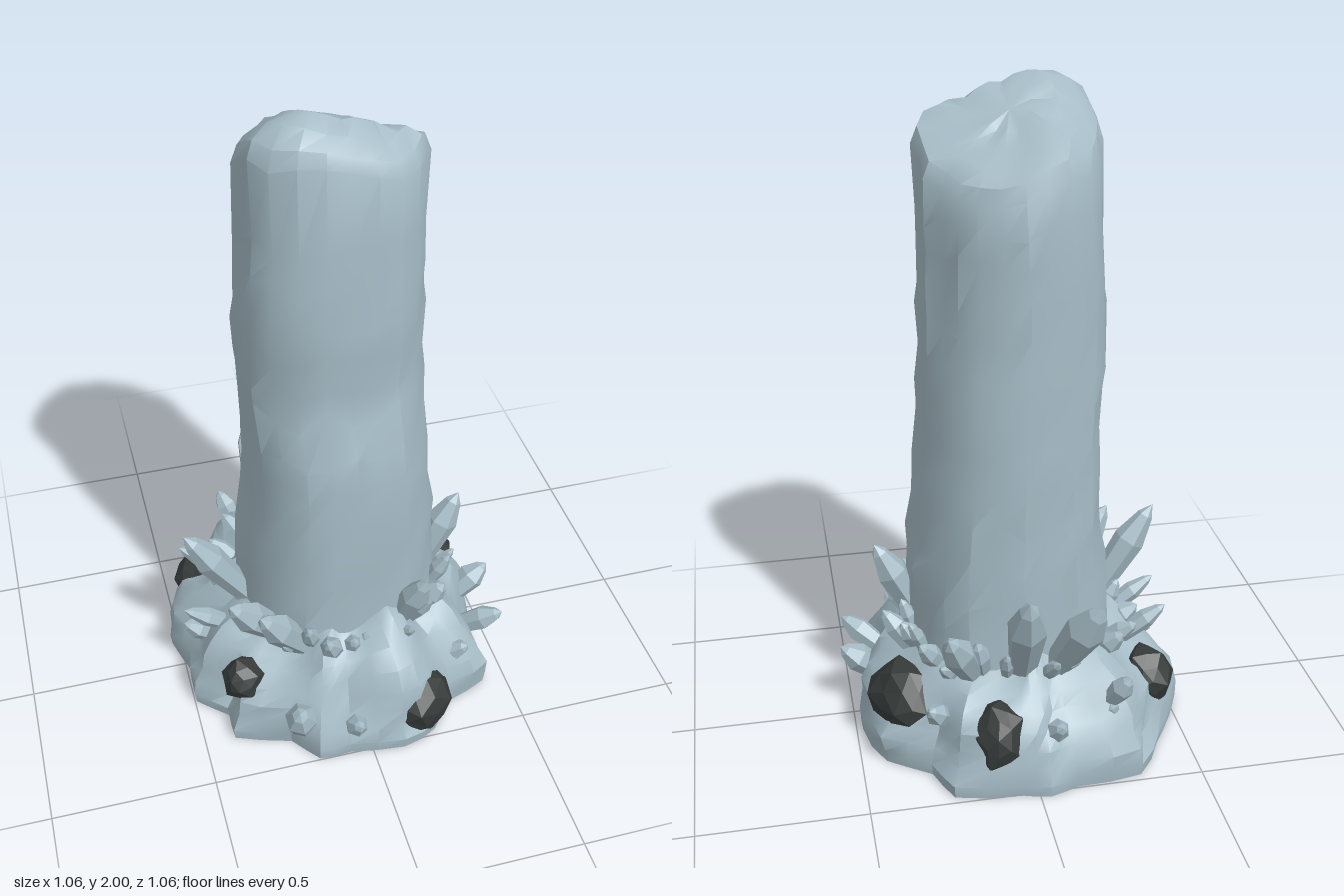
import * as THREE from 'three';
import { toCreasedNormals } from 'three/addons/utils/BufferGeometryUtils.js';

// Seeded random numbers in the range -1..1
function seeded(seed) {
  let s = seed;
  return () => {
    s = (s * 16807) % 2147483647;
    return (s / 2147483647) * 2 - 1;
  };
}

// Skin closed rings of points; both ends are closed by a centre point
function loft(rings, crease) {
  const n = rings[0].length, pos = [], index = [];
  rings.forEach(ring => ring.forEach(p => pos.push(p.x, p.y, p.z)));
  for (let r = 0; r < rings.length - 1; r++) {
    for (let i = 0; i < n; i++) {
      const a = r * n + i, b = r * n + (i + 1) % n;
      index.push(a, a + n, b, b, a + n, b + n);
    }
  }
  [0, rings.length - 1].forEach((r, end) => {
    const c = new THREE.Vector3();
    rings[r].forEach(p => c.addScaledVector(p, 1 / n));
    const ci = pos.length / 3;
    pos.push(c.x, c.y, c.z);
    for (let i = 0; i < n; i++) {
      const a = r * n + i, b = r * n + (i + 1) % n;
      if (end) index.push(a, ci, b); else index.push(a, b, ci);
    }
  });
  const g = new THREE.BufferGeometry();
  g.setAttribute('position', new THREE.Float32BufferAttribute(pos, 3));
  g.setIndex(index);
  return toCreasedNormals(g, crease);
}

// Lumpy plinth: ground outline scaled inward while rising, with rounded knobs
function baseGeometry() {
  const outline = [
    [-.32, -.48], [-.12, -.5], [-.03, -.53], [.05, -.51], [.25, -.48], [.3, -.36],
    [.43, -.27], [.485, -.1], [.47, .04], [.43, .2], [.43, .33], [.29, .385],
    [.215, .48], [.1, .525], [-.07, .5], [-.17, .5], [-.24, .41], [-.41, .35],
    [-.41, .255], [-.5, .17], [-.49, .04], [-.53, -.1], [-.49, -.21], [-.41, -.34]];
  const curve = new THREE.CatmullRomCurve3(outline.map(([x, z]) => new THREE.Vector3(x, 0, z)), true);
  const points = curve.getPoints(48).slice(0, 48);
  const levels = [[0, .99], [.04, 1], [.09, .975], [.14, .945], [.19, .9], [.235, .83],
    [.27, .75], [.305, .66], [.345, .57], [.4, .45]];
  const rnd = seeded(41);
  return loft(levels.map(([y, s], l) => points.map(({ x, z }) => {
    const a = Math.atan2(z, x);
    const lump = Math.sin(a * 9 + y * 9) * .022 + Math.sin(a * 5 - y * 24) * .025 + rnd() * .015;
    const k = l < 2 ? s : s * (1 + lump);
    const mound = l > 3 ? .08 * Math.exp(-((x * k - .11) ** 2 + (z * k - .34) ** 2) / .015) : 0;
    return new THREE.Vector3(x * k, l ? y * (1 + lump * 1.5) + mound : 0, z * k);
  })), .6);
}

// Rough column: [y, x min, x max, z min, z max], with vertical ridges
function pillarGeometry() {
  const levels = [
    [.2, -.31, .32, -.31, .32], [.4, -.3, .31, -.305, .315], [.52, -.295, .31, -.3, .315],
    [.64, -.28, .3, -.3, .312], [.76, -.272, .288, -.3, .31], [.88, -.268, .278, -.3, .303],
    [1, -.265, .265, -.3, .295], [1.12, -.275, .262, -.295, .255], [1.22, -.278, .26, -.288, .25],
    [1.33, -.28, .257, -.283, .256], [1.44, -.278, .255, -.28, .26], [1.55, -.266, .255, -.28, .247],
    [1.65, -.263, .258, -.278, .238]];
  const n = 24, rnd = seeded(7);
  const ridge = Array.from({ length: n }, () => rnd() * .03);
  // How far each corner swells at the foot and at the top, going round from front left
  const foot = [.03, .04, .12, .08], head = [.08, .13, 0, -.1];
  // Crown slopes down from a peak at the front right
  const crown = (x, z) => Math.max(1.76, 2.005 - .32 * Math.max(0, x + .1) - .6 * Math.max(0, -.14 - x)
    - .62 * Math.max(0, .07 - z) - .5 * Math.max(0, z - .1));
  const ring = ([y, x0, x1, z0, z1], k, wobble, drop) => Array.from({ length: n }, (_, i) => {
    const a = i / n * Math.PI * 2, q = Math.floor(i / n * 4);
    const corner = THREE.MathUtils.lerp(foot[q], head[q], y / 1.9) * Math.sin(2 * a) ** 2;
    const f = k * (1 + ridge[i] + corner + rnd() * wobble);
    const x = (x0 + x1) / 2 + (x1 - x0) / 2 * Math.cos(a) * f;
    const z = (z0 + z1) / 2 + (z1 - z0) / 2 * Math.sin(a) * f;
    return new THREE.Vector3(x, drop === undefined ? y + rnd() * .03 : crown(x, z) - drop + rnd() * .008, z);
  });
  const rings = levels.map(l => ring(l, 1, .026));
  const rim = [1.9, -.262, .262, -.265, .22];
  [[.99, .045], [.92, .01], [.75, 0], [.5, 0], [.25, 0]].forEach(([k, drop]) => rings.push(ring(rim, k, .012, drop)));
  return loft(rings, .5);
}

// Six-sided pointed crystal between two points
function crystal(from, to, radius, material) {
  const a = new THREE.Vector3(...from), d = new THREE.Vector3(...to).sub(a);
  const len = d.length();
  const profile = [[0, 0], [radius * .7, 0], [radius, len * .66], [radius * .5, len * .9], [0, len]];
  const g = new THREE.LatheGeometry(profile.map(p => new THREE.Vector2(...p)), 6).toNonIndexed();
  g.computeVertexNormals();
  const m = new THREE.Mesh(g, material);
  m.position.copy(a);
  m.quaternion.setFromUnitVectors(new THREE.Vector3(0, 1, 0), d.normalize());
  m.name = 'crystal';
  return m;
}

// Chunky stone set into the side of the plinth
function stoneGeometry(seed) {
  const g = new THREE.IcosahedronGeometry(1, 1), p = g.attributes.position, v = new THREE.Vector3();
  for (let i = 0; i < p.count; i++) {
    v.fromBufferAttribute(p, i);
    const k = 1 + .1 * Math.sin(v.x * 5 + seed) * Math.cos(v.y * 4 - seed) + .06 * Math.sin(v.z * 7 + seed * 2);
    p.setXYZ(i, v.x * k, v.y * k, v.z * k);
  }
  g.computeVertexNormals();
  return g;
}

export function createModel() {
  const paleStone = new THREE.MeshStandardMaterial({ color: 0xa5bbc5 });
  paleStone.name = 'pale stone';
  const darkStone = new THREE.MeshStandardMaterial({ color: 0x363b3a });
  darkStone.name = 'dark stone';

  const model = new THREE.Group();
  model.name = 'crystalPillar';
  const add = (name, geometry, material) => {
    const m = new THREE.Mesh(geometry, material);
    m.name = name;
    model.add(m);
    return m;
  };
  add('base', baseGeometry(), paleStone);
  add('pillar', pillarGeometry(), paleStone);

  // Large crystals: root, tip, radius
  const crystals = new THREE.Group();
  crystals.name = 'crystals';
  model.add(crystals);
  [
    [[-.26, .28, .04], [-.48, .62, .06], .05], [[.26, .28, .05], [.41, .58, .04], .05],
    [[.01, .28, -.28], [.03, .645, -.49], .06], [[-.09, .28, -.28], [-.19, .58, -.45], .06],
    [[.15, .27, -.26], [.25, .5, -.41], .05], [[-.2, .27, .2], [-.39, .51, .28], .05],
    [[-.14, .25, .26], [-.31, .5, .34], .05], [[.14, .28, .25], [.2, .54, .36], .045],
    [[.38, .1, .04], [.53, .23, .03], .045], [[.36, .1, .16], [.51, .21, .24], .04],
    [[-.3, .2, .08], [-.5, .34, .09], .03], [[.22, .27, .19], [.3, .4, .25], .04],
    [[-.23, .2, -.38], [-.28, .33, -.45], .035], [[-.06, .25, .3], [-.12, .4, .4], .035],
    [[-.2, .05, .4], [-.23, .22, .49], .05], [[-.05, .05, .42], [-.05, .15, .53], .035],
    [[-.3, .25, -.14], [-.47, .38, -.15], .03], [[.3, .25, -.08], [.4, .4, -.05], .035],
  ].forEach(([from, to, r]) => crystals.add(crystal(from, to, r, paleStone)));

  // Ring of small crystals around the foot of the pillar
  const rnd = seeded(99);
  for (let i = 0; i < 26; i++) {
    const a = (i + rnd() * .35) / 26 * Math.PI * 2, c = Math.cos(a), s = Math.sin(a);
    const r = .38 + rnd() * .04, h = .39 + rnd() * .05;
    crystals.add(crystal([c * .29, .26, s * .29], [c * r, h, s * r], .029 + rnd() * .008, paleStone));
  }
  // Short studs on the flanks of the plinth, between the dark stones
  [45, 175, 240, 262, 308].forEach(deg => {
    const a = deg * Math.PI / 180, c = Math.cos(a), s = Math.sin(a), h = .18 + rnd() * .03;
    crystals.add(crystal([c * .38, h - .05, s * .38], [c * .5, h + .05, s * .5], .035, paleStone));
  });

  // Dark stones: centre, half width, half height, half depth, backward tilt
  [
    [[.17, .115, .42], .11, .115, .09, -.6], [[-.35, .19, .275], .065, .07, .08, -.45],
    [[-.4, .18, -.22], .08, .095, .075, -.45], [[.105, .17, -.43], .075, .105, .075, -.4],
    [[.365, .18, -.185], .13, .11, .075, -.45],
  ].forEach(([c, w, h, d, tilt], i) => {
    const m = add('darkStone', stoneGeometry(i * 1.7 + 1), darkStone);
    m.position.set(...c);
    m.rotation.set(tilt, Math.atan2(c[0], c[2]), 0, 'YXZ');
    m.scale.set(w, h, d);
  });
  return model;
}
